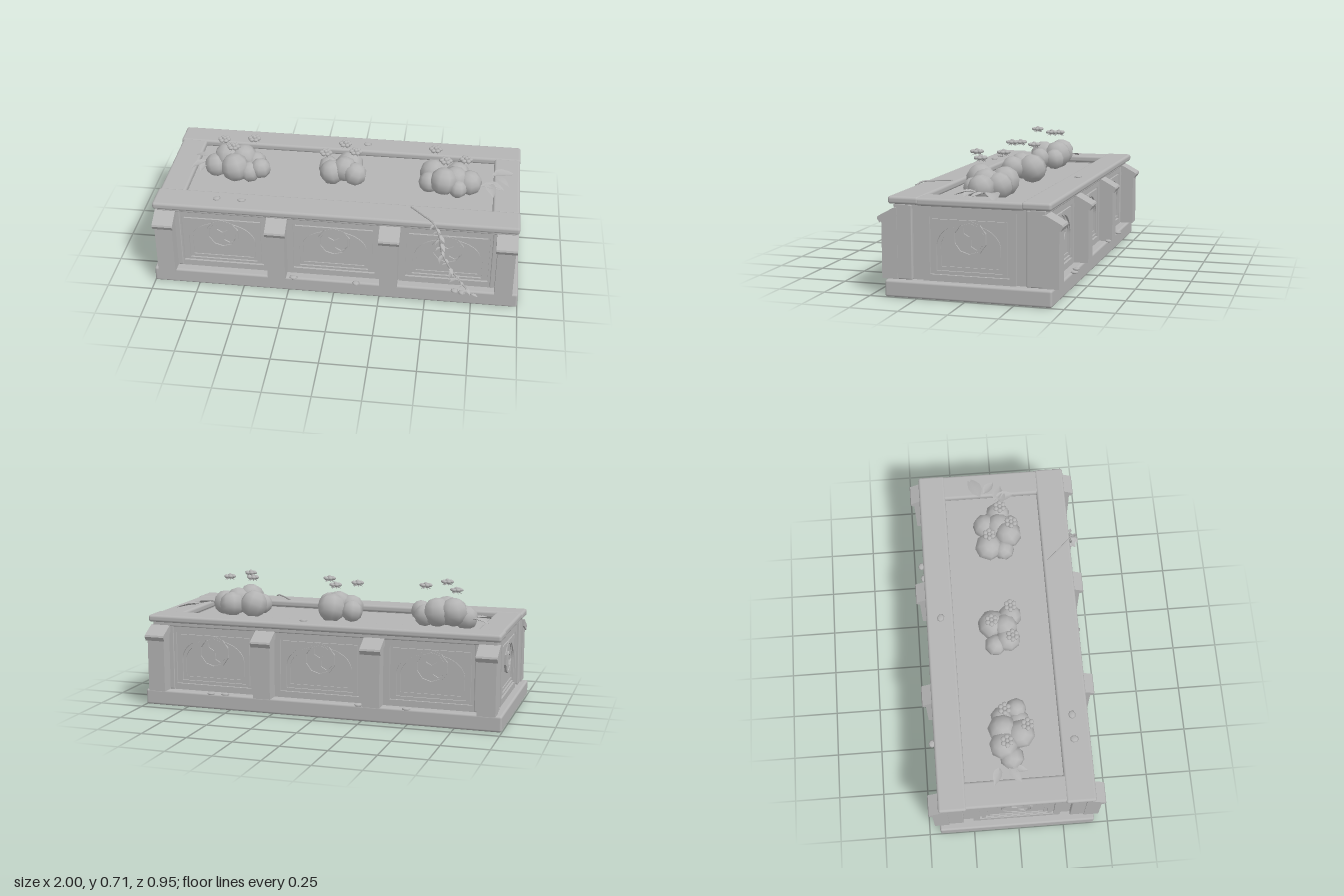
import * as THREE from 'three';
import { RoundedBoxGeometry } from 'three/addons/geometries/RoundedBoxGeometry.js';

export function createModel() {
  const stone = new THREE.MeshStandardMaterial({ color: 0xb4b4b4 });
  stone.name = 'grey stone';
  stone.side = THREE.DoubleSide;
  const model = new THREE.Group();
  model.name = 'planter';

  const add = (parent, name, geo, x = 0, y = 0, z = 0) => {
    const m = new THREE.Mesh(geo, stone);
    m.name = name;
    m.position.set(x, y, z);
    parent.add(m);
    return m;
  };
  // Box given by its min and max corners, optionally rounded
  const block = (name, x0, x1, y0, y1, z0, z1, r = 0) => {
    const s = [x1 - x0, y1 - y0, z1 - z0];
    const geo = r ? new RoundedBoxGeometry(...s, 3, r) : new THREE.BoxGeometry(...s);
    return add(model, name, geo, (x0 + x1) / 2, (y0 + y1) / 2, (z0 + z1) / 2);
  };
  let seed = 7;
  const rand = () => (seed = (seed * 16807) % 2147483647) / 2147483647;

  // Plinth, body with soil on top, moulding
  block('plinth', -1, 1, 0, 0.086, -0.44, 0.42, 0.012);
  block('body', -0.945, 0.945, 0.08, 0.455, -0.377, 0.357);
  block('frontMoulding', -0.965, 0.965, 0.442, 0.468, 0.3, 0.38, 0.006);
  block('backMoulding', -0.965, 0.965, 0.442, 0.468, -0.4, -0.32, 0.006);

  // Rim bars around the soil
  block('frontRim', -0.985, 0.98, 0.466, 0.505, 0.245, 0.407, 0.014);
  block('backRim', -0.985, 0.98, 0.466, 0.505, -0.43, -0.28, 0.014);
  for (const s of [-1, 1]) {
    const x = s * 0.905;
    block('endRim', x - 0.072, x + 0.072, 0.462, 0.502, -0.295, 0.26, 0.014);
    block('endMoulding', x - 0.055, x + 0.055, 0.445, 0.468, -0.32, 0.3);
    // Corner posts
    block('cornerPost', x - 0.06, x + 0.06, 0.086, 0.464, 0.285, 0.373, 0.006);
    block('cornerPost', x - 0.06, x + 0.06, 0.086, 0.464, -0.393, -0.303, 0.006);
  }

  // Buttress piers with sloping caps
  const capShape = new THREE.Shape([[0, 0.41], [0.09, 0.37], [0.102, 0.392], [0.098, 0.402], [0.015, 0.447], [0, 0.447]]
    .map(p => new THREE.Vector2(...p)));
  const shaftShape = new THREE.Shape([[0, 0.086], [0.082, 0.086], [0.082, 0.39], [0, 0.425]]
    .map(p => new THREE.Vector2(...p)));
  const prism = (shape, w) => new THREE.ExtrudeGeometry(shape, { depth: w, bevelEnabled: false })
    .translate(0, 0, -w / 2).rotateY(-Math.PI / 2);
  for (const x of [-0.922, -0.31, 0.3, 0.92]) for (const front of [true, false]) {
    const pier = new THREE.Group();
    pier.name = 'pier';
    pier.position.set(x, 0, front ? 0.363 : -0.385);
    pier.rotation.y = front ? 0 : Math.PI;
    add(pier, 'pierShaft', prism(shaftShape, 0.096));
    add(pier, 'pierCap', prism(capShape, 0.112));
    model.add(pier);
  }

  // Carved panel: border, arched recess and a round tracery with three hexagons
  const rect = (P, w, y0, y1) => new P([[-w, y0], [w, y0], [w, y1], [-w, y1]].map(p => new THREE.Vector2(...p)));
  const arch = (P, w, y0, spring, rise) => {
    const p = new P();
    p.moveTo(-w, y0);
    p.lineTo(w, y0);
    p.lineTo(w, spring);
    p.absellipse(0, spring, w, rise, 0, Math.PI, false);
    p.closePath();
    return p;
  };
  const polygon = (P, n, r, cx, cy, turn = 0) => new P(Array.from({ length: n }, (_, i) => {
    const a = turn + i * 2 * Math.PI / n;
    return new THREE.Vector2(cx + r * Math.cos(a), cy + r * Math.sin(a));
  }));
  const slab = (shape, holes, depth) => {
    shape.holes.push(...holes);
    return new THREE.ExtrudeGeometry(shape, { depth, bevelEnabled: false, curveSegments: 16 });
  };
  const panel = (width, x, z, turn) => {
    const g = new THREE.Group();
    g.name = 'carvedPanel';
    g.position.set(x, 0, z);
    g.rotation.y = turn;
    const w = width / 2, S = THREE.Shape, P = THREE.Path, cy = 0.308;
    add(g, 'panelBorder', slab(rect(S, w + 0.035, 0.086, 0.445), [rect(P, w, 0.12, 0.41)], 0.013));
    add(g, 'archSurround', slab(rect(S, w - 0.012, 0.132, 0.398), [arch(P, w - 0.035, 0.14, 0.26, 0.125)], 0.01));
    add(g, 'archMoulding', slab(arch(S, w - 0.045, 0.15, 0.26, 0.115), [arch(P, w - 0.056, 0.162, 0.26, 0.103)], 0.006));
    const hexes = [[0, 0.042], [-0.038, -0.022], [0.038, -0.022]]
      .map(([hx, hy]) => polygon(P, 6, 0.034, hx, cy + hy, Math.PI / 6));
    add(g, 'tracery', slab(polygon(S, 10, 0.076, 0, cy, Math.PI / 10), hexes, 0.008));
    add(g, 'traceryRing', slab(polygon(S, 10, 0.09, 0, cy, Math.PI / 10),
      [polygon(P, 10, 0.078, 0, cy, Math.PI / 10)], 0.012));
    model.add(g);
  };
  for (const x of [-0.615, -0.003, 0.61]) {
    panel(0.445, x, 0.357, 0);
    panel(0.445, x, -0.377, Math.PI);
  }
  panel(0.41, 0.945, -0.01, Math.PI / 2);
  panel(0.41, -0.945, -0.01, -Math.PI / 2);

  // Bushes: x, z, radius, centre height
  const bushes = [
    [-0.72, -0.02, 0.066, 0.51], [-0.66, -0.06, 0.078, 0.545], [-0.57, -0.06, 0.08, 0.54], [-0.5, -0.06, 0.06, 0.52],
    [-0.46, 0.02, 0.058, 0.53], [-0.6, 0.035, 0.08, 0.535], [-0.52, 0.03, 0.06, 0.51],
    [-0.085, -0.06, 0.06, 0.52], [0.03, -0.07, 0.08, 0.535], [0.07, 0.03, 0.066, 0.54], [-0.06, 0.01, 0.07, 0.53], [0.01, 0.0, 0.07, 0.55],
    [0.5, -0.055, 0.078, 0.53], [0.63, -0.065, 0.07, 0.525], [0.48, 0.03, 0.058, 0.52], [0.56, 0.06, 0.076, 0.55],
    [0.7, 0.01, 0.07, 0.52], [0.62, 0.01, 0.075, 0.535], [0.64, 0.075, 0.05, 0.515]
  ];
  for (const [x, z, r, y] of bushes) {
    const bush = add(model, 'bush', new THREE.SphereGeometry(r, 8, 6), x, y, z);
    bush.rotation.set(rand() - 0.5, rand() * 3, rand() - 0.5);
  }

  // Flowers above the bushes: six petals, a centre and pointed sepals
  const flowers = [
    [-0.67, 0.665, -0.043], [-0.5, 0.683, -0.043], [-0.594, 0.69, 0.07],
    [0.005, 0.667, -0.075], [-0.09, 0.667, 0.032], [0.075, 0.685, 0.032],
    [0.505, 0.683, -0.05], [0.567, 0.69, 0.075], [0.675, 0.672, 0.02]
  ];
  for (const [x, y, z] of flowers) {
    const f = new THREE.Group();
    f.name = 'flower';
    f.position.set(x, y, z);
    add(f, 'flowerCentre', new THREE.SphereGeometry(0.012, 8, 6), 0, 0.005, 0);
    for (let i = 0; i < 6; i++) {
      const a = i * Math.PI / 3, c = Math.cos(a), s = Math.sin(a);
      add(f, 'petal', new THREE.SphereGeometry(0.014, 8, 5), c * 0.023, 0, s * 0.023).scale.y = 0.7;
      const sepal = add(f, 'sepal', new THREE.ConeGeometry(0.007, 0.03, 4), c * 0.016, -0.013, s * 0.016);
      sepal.quaternion.setFromUnitVectors(new THREE.Vector3(0, 1, 0), new THREE.Vector3(c, -0.6, s).normalize());
    }
    model.add(f);
  }

  // Folded pointed leaf lying along +z, length 1
  const leafGeo = new THREE.PlaneGeometry(0.5, 1, 2, 4).rotateX(-Math.PI / 2);
  const lp = leafGeo.attributes.position;
  for (let i = 0; i < lp.count; i++) {
    const t = lp.getZ(i) + 0.5, x = lp.getX(i) * Math.sin(Math.PI * Math.pow(t, 0.8));
    lp.setXYZ(i, x, Math.abs(x) * 0.4 - t * t * 0.15, t);
  }
  leafGeo.computeVertexNormals();
  const leaf = (x, y, z, size, yaw, pitch = 0) => {
    const l = add(model, 'leaf', leafGeo, x, y, z);
    l.scale.setScalar(size);
    l.rotation.set(pitch, yaw, 0, 'YXZ');
  };
  for (const [x, z, size, yaw] of [[0.82, -0.08, 0.15, 2.0], [0.79, 0.0, 0.11, 1.2], [0.8, 0.0, 0.12, 0.3],
    [0.76, 0.03, 0.12, 1.5], [0.84, -0.06, 0.1, 0.9], [-0.77, -0.09, 0.1, -1.9], [-0.78, -0.04, 0.1, -0.9], [-0.78, -0.02, 0.08, -0.2]])
    leaf(x, 0.517, z, size, yaw);

  // Vine trailing over the front rim, with leaves
  const vine = new THREE.CatmullRomCurve3([[0.4, 0.508, 0.27], [0.47, 0.512, 0.35], [0.53, 0.505, 0.41], [0.565, 0.44, 0.44],
    [0.58, 0.34, 0.43], [0.63, 0.24, 0.435], [0.69, 0.16, 0.44], [0.75, 0.092, 0.45]].map(p => new THREE.Vector3(...p)));
  add(model, 'vine', new THREE.TubeGeometry(vine, 40, 0.005, 5));
  for (let i = 0; i < 20; i++) {
    const p = vine.getPoint(0.3 + 0.7 * i / 19);
    leaf(p.x, p.y, p.z, 0.03 + rand() * 0.022, (i % 2 ? 1 : -1) * (0.4 + rand()), rand() * 0.9);
  }

  // Fallen petals and pebbles on rim and plinth
  const bits = [[-0.645, 0.508, 0.32], [-0.51, 0.508, 0.32], [0.1, 0.508, -0.35], [0.125, 0.092, 0.43], [-0.5, 0.092, -0.455],
    [0.52, 0.092, -0.445], [0.6, 0.092, -0.455], [-0.24, 0.092, -0.45], [-0.22, 0.092, 0.42], [0.7, 0.092, 0.44], [0.66, 0.092, 0.43]];
  for (const [x, y, z] of bits) {
    const bit = add(model, 'fallenPetal', new THREE.SphereGeometry(0.024, 7, 4), x, y, z);
    bit.scale.set(1, 0.3, 0.85);
    bit.rotation.y = rand() * 3;
  }
  return model;
}
